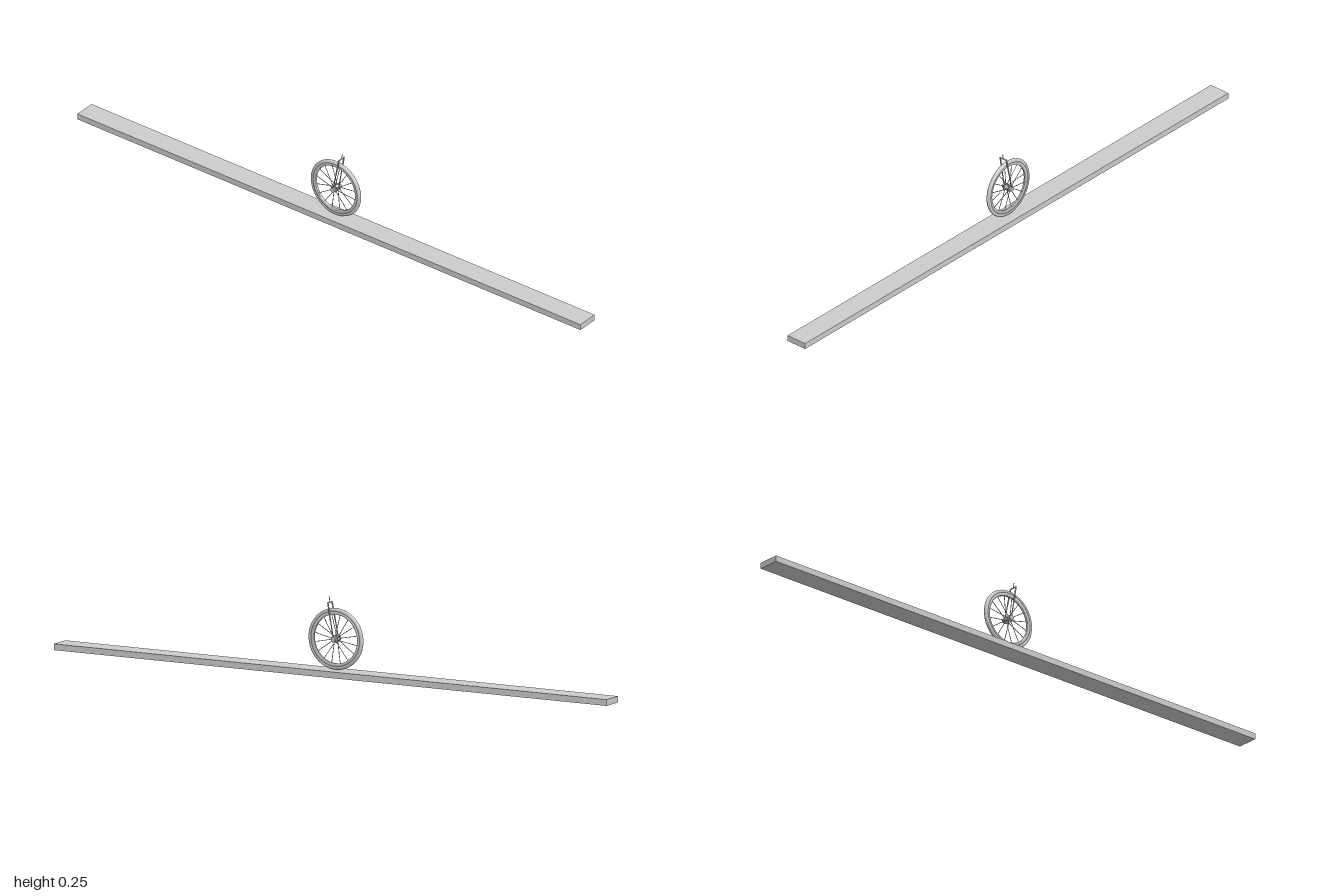
import * as THREE from 'three';

const grey = new THREE.MeshStandardMaterial({ color: 0xcccccc });

function add(parent, name, geometry) {
  const mesh = new THREE.Mesh(geometry, grey);
  mesh.name = name;
  parent.add(mesh);
  return mesh;
}

// Round bar between two points, with a radius at each end
function bar(parent, name, from, to, r0, r1 = r0, sides = 10) {
  const a = new THREE.Vector3(...from), b = new THREE.Vector3(...to);
  const dir = b.clone().sub(a);
  const mesh = add(parent, name, new THREE.CylinderGeometry(r1, r0, dir.length(), sides));
  mesh.position.copy(a).add(b).multiplyScalar(0.5);
  mesh.quaternion.setFromUnitVectors(new THREE.Vector3(0, 1, 0), dir.normalize());
  return mesh;
}

export function createModel() {
  const model = new THREE.Group();
  model.name = 'wheelOnTrack';

  // Long flat track
  add(model, 'track', new THREE.BoxGeometry(2, 0.02, 0.073)).position.y = 0.01;

  // Wheel, turning about z
  const wheel = new THREE.Group();
  wheel.name = 'wheel';
  wheel.position.y = 0.119;
  model.add(wheel);
  add(wheel, 'tyre', new THREE.TorusGeometry(0.0915, 0.0067, 14, 64));

  // Rim: closed cross-section swept round the axle
  const section = [[0.078, -0.003], [0.08, -0.0045], [0.088, -0.0055], [0.088, 0.0055],
    [0.08, 0.0045], [0.078, 0.003], [0.078, -0.003]];
  const rim = new THREE.LatheGeometry(section.map(([r, y]) => new THREE.Vector2(r, y)), 64);
  add(wheel, 'rim', rim.rotateX(Math.PI / 2));

  // Hub with a flange at each side and an axle through it
  bar(wheel, 'hub', [0, 0, -0.011], [0, 0, 0.011], 0.008, 0.008, 20);
  bar(wheel, 'axle', [0, 0, -0.0185], [0, 0, 0.0185], 0.0045, 0.0045, 16);
  for (const s of [-1, 1]) {
    bar(wheel, 'hubFlange', [0, 0, s * 0.008], [0, 0, s * 0.0095], 0.012, 0.012, 24);
    bar(wheel, 'axleNut', [0, 0, s * 0.013], [0, 0, s * 0.0188], 0.008, 0.008, 16);
  }

  // Spokes run to alternate sides of the hub
  const spokes = 16;
  for (let i = 0; i < spokes; i++) {
    const a = (i + 0.5) / spokes * Math.PI * 2;
    const c = Math.cos(a), s = Math.sin(a), z = i % 2 ? 0.008 : -0.008;
    bar(wheel, 'spoke', [0.008 * c, 0.008 * s, z], [0.08 * c, 0.08 * s, 0], 0.0011, 0.0011, 6);
  }

  // Fork leaning towards +x
  const fork = new THREE.Group();
  fork.name = 'fork';
  model.add(fork);
  for (const s of [-1, 1]) {
    bar(fork, 'forkLowerLeg', [0, 0.119, s * 0.016], [0.0115, 0.18, s * 0.0145], 0.0018, 0.0018);
    bar(fork, 'forkUpperLeg', [0.0115, 0.178, s * 0.0147], [0.022, 0.235, s * 0.013], 0.0024, 0.0024);
  }
  bar(fork, 'forkCrown', [0.022, 0.234, -0.014], [0.022, 0.234, 0.014], 0.002);
  bar(fork, 'steererPin', [0.022, 0.234, 0], [0.025, 0.253, 0], 0.0012);

  return model;
}
